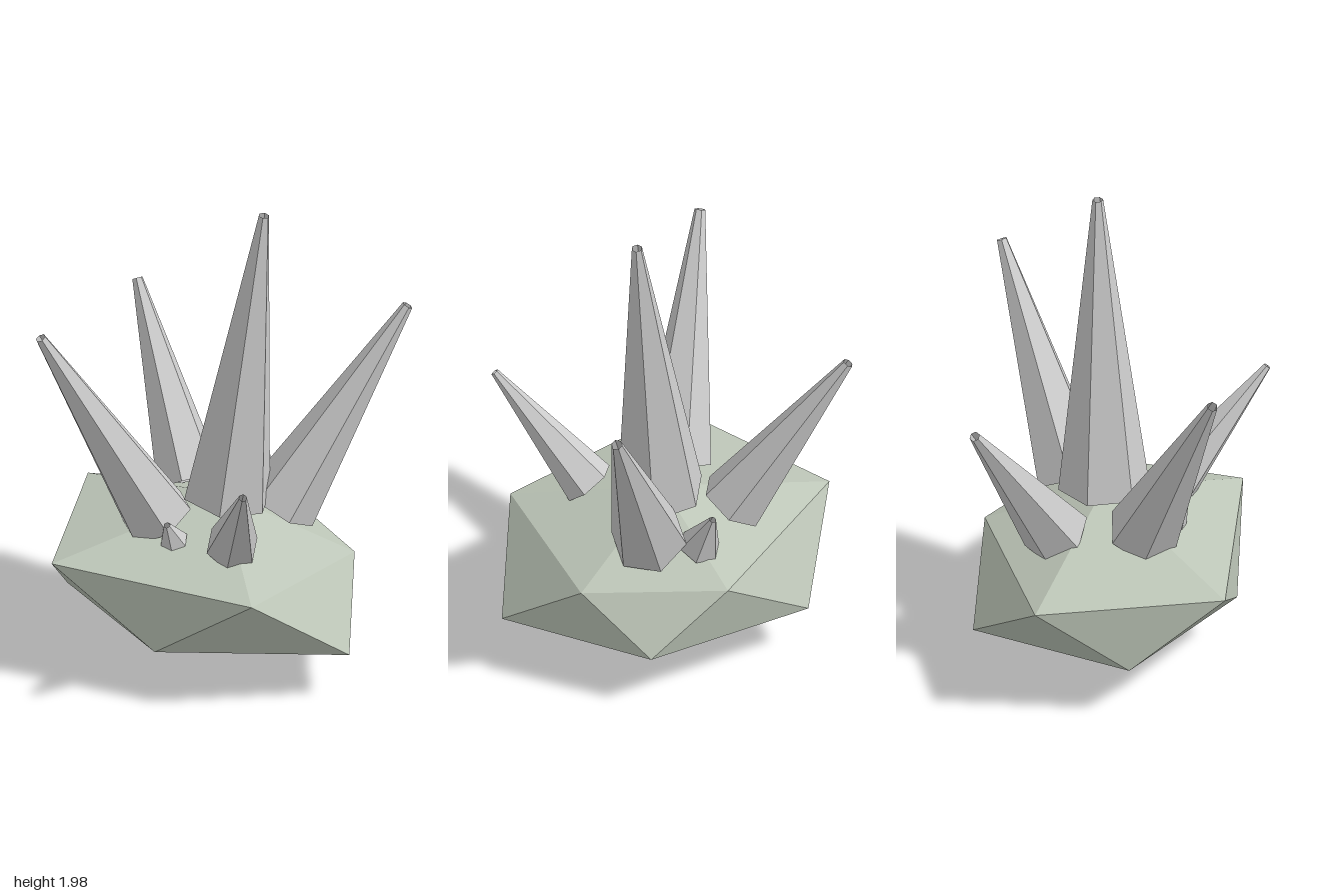
import * as THREE from 'three';

const rockMaterial = new THREE.MeshStandardMaterial({ color: 0xbdc6b8, flatShading: true });
const crystalMaterial = new THREE.MeshStandardMaterial({ color: 0xcccccc, flatShading: true, side: THREE.DoubleSide });

// Squashed, uneven twenty-sided rock: two poles and two staggered rings of five
function createRock() {
  const top = [-0.01, 0.69, -0.05];
  const bottom = [-0.02, 0, -0.05];
  const upper = [[0.21, 0.51, 0.55], [0.53, 0.47, -0.05], [0.16, 0.47, -0.51], [-0.62, 0.52, -0.43], [-0.64, 0.52, 0.34]];
  const lower = [[0.57, 0.2, 0.32], [0.46, 0.23, -0.35], [-0.23, 0.2, -0.62], [-0.64, 0.22, -0.05], [-0.2, 0.22, 0.46]];
  const points = [];
  for (let i = 0; i < 5; i++) {
    const j = (i + 1) % 5;
    points.push(
      top, upper[i], upper[j],
      upper[i], lower[i], upper[j],
      lower[i], lower[j], upper[j],
      bottom, lower[j], lower[i],
    );
  }
  const geometry = new THREE.BufferGeometry();
  geometry.setAttribute('position', new THREE.Float32BufferAttribute(points.flat(), 3));
  geometry.computeVertexNormals();
  const rock = new THREE.Mesh(geometry, rockMaterial);
  rock.name = 'rock';
  return rock;
}

// Open six-sided spike tapering from base to tip
function createCrystal({ name, base, tip, radius, tipRadius = 0.022, turn = 0 }) {
  const start = new THREE.Vector3(...base);
  const axis = new THREE.Vector3(...tip).sub(start);
  const length = axis.length();
  const geometry = new THREE.CylinderGeometry(tipRadius, radius, length, 6, 1, true);
  geometry.rotateY(THREE.MathUtils.degToRad(turn));
  geometry.translate(0, length / 2, 0);
  const crystal = new THREE.Mesh(geometry, crystalMaterial);
  crystal.quaternion.setFromUnitVectors(new THREE.Vector3(0, 1, 0), axis.normalize());
  crystal.position.copy(start);
  crystal.name = name;
  return crystal;
}

export function createModel() {
  const model = new THREE.Group();
  model.name = 'crystalCluster';
  model.add(createRock());

  const crystals = [
    { name: 'centralCrystal', base: [0.01, 0.68, -0.05], tip: [0.16, 1.98, -0.05], radius: 0.185 },
    { name: 'rightCrystal', base: [-0.25, 0.62, 0.07], tip: [-0.695, 1.52, 0.28], radius: 0.15, turn: 25 },
    { name: 'leftCrystal', base: [0.21, 0.6, -0.15], tip: [0.695, 1.45, -0.355], radius: 0.155, turn: 23 },
    { name: 'backCrystal', base: [-0.18, 0.61, -0.275], tip: [-0.455, 1.31, -0.65], radius: 0.14 },
    { name: 'frontCrystal', base: [0.08, 0.62, 0.25], tip: [0.19, 1.065, 0.645], radius: 0.108, tipRadius: 0.016 },
    { name: 'smallFrontCrystal', base: [-0.165, 0.595, 0.205], tip: [-0.185, 0.69, 0.25], radius: 0.06, tipRadius: 0.014 },
    { name: 'smallBackCrystal', base: [0.085, 0.56, -0.31], tip: [0.11, 0.745, -0.395], radius: 0.085, tipRadius: 0.014 },
  ];
  for (const crystal of crystals) model.add(createCrystal(crystal));
  return model;
}
